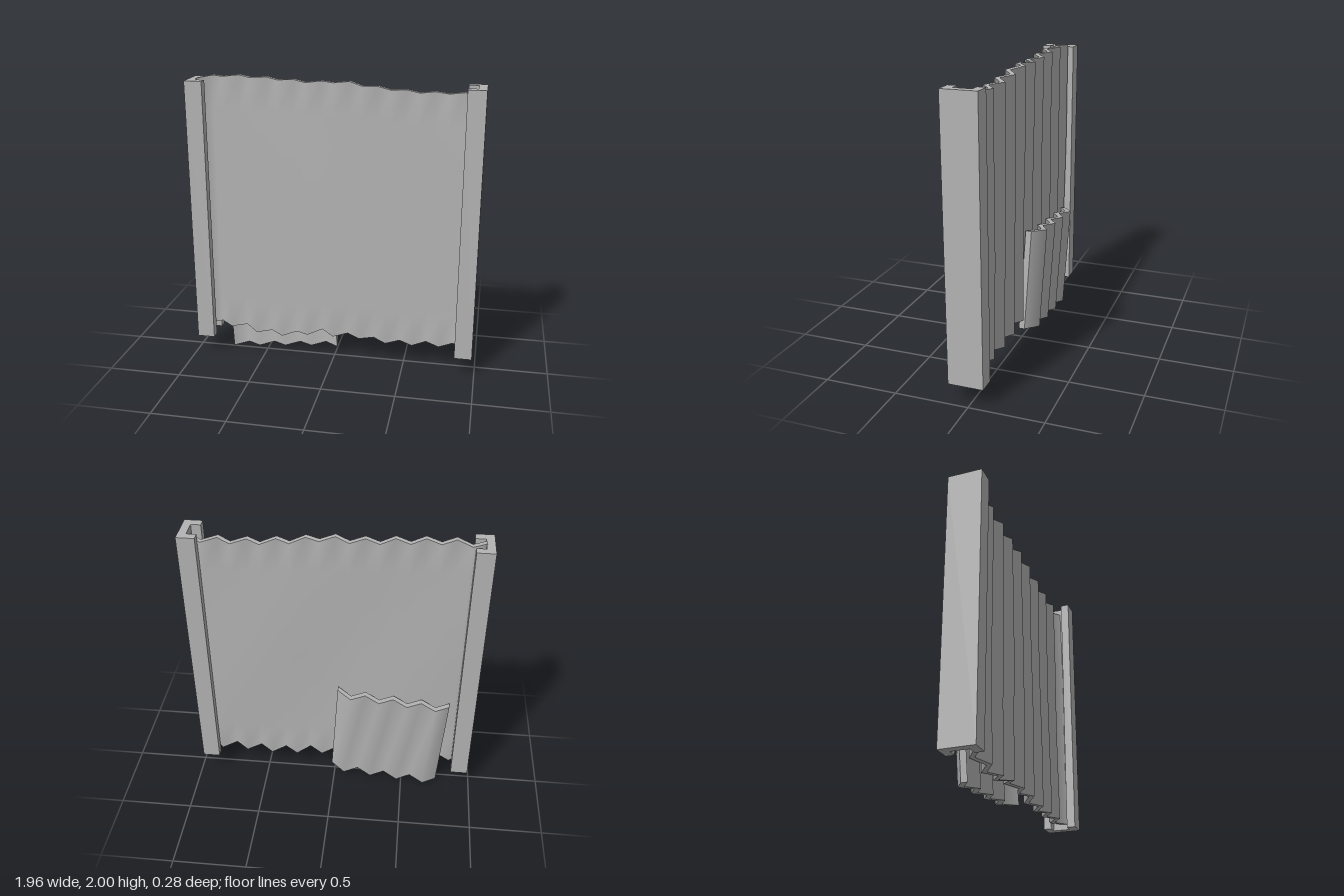
import * as THREE from 'three';

const steel = new THREE.MeshStandardMaterial({ color: 0xb4b4b4 });
steel.name = 'grey steel';

// Piecewise-linear curve through [x, y] points
function curve(points) {
  return (x) => {
    let i = 0;
    while (i < points.length - 2 && x > points[i + 1][0]) i++;
    const [x0, y0] = points[i], [x1, y1] = points[i + 1];
    return y0 + (y1 - y0) * THREE.MathUtils.clamp((x - x0) / (x1 - x0), 0, 1);
  };
}

// Solid folded sheet; at(i, v, front) gives a point at fold i and height v (0..1).
// Faces share normals over the folds, the cut edges stay sharp.
function foldedSheet(count, rows, at) {
  const pos = [], idx = [];
  const grid = (nu, nv, point) => {
    const base = pos.length / 3;
    for (let v = 0; v <= nv; v++)
      for (let u = 0; u <= nu; u++) pos.push(...point(u, v));
    for (let v = 0; v < nv; v++)
      for (let u = 0; u < nu; u++) {
        const a = base + v * (nu + 1) + u, b = a + 1, c = a + nu + 1, d = c + 1;
        idx.push(a, b, d, a, d, c);
      }
  };
  const n = count - 1;
  grid(n, rows, (u, v) => at(u, v / rows, true)); // front
  grid(n, rows, (u, v) => at(n - u, v / rows, false)); // back
  grid(n, 1, (u, v) => at(u, 1, v === 0)); // top edge
  grid(n, 1, (u, v) => at(u, 0, v === 1)); // bottom edge
  grid(1, rows, (u, v) => at(0, v / rows, u === 1)); // left-hand edge
  grid(1, rows, (u, v) => at(n, v / rows, u === 0)); // right-hand edge
  const g = new THREE.BufferGeometry();
  g.setAttribute('position', new THREE.Float32BufferAttribute(pos, 3));
  g.setIndex(idx);
  g.computeVertexNormals();
  return g;
}

function add(parent, geometry, name) {
  const mesh = new THREE.Mesh(geometry, steel);
  mesh.name = name;
  parent.add(mesh);
  return mesh;
}

export function createModel() {
  const group = new THREE.Group();
  group.name = 'corrugatedWall';

  // C-section posts: upright extrusions opening towards the sheet
  for (const side of [-1, 1]) {
    const outline = [[0.98, -0.14], [0.98, 0.095], [0.86, 0.095], [0.86, 0.04],
      [0.925, 0.04], [0.925, -0.08], [0.86, -0.08], [0.86, -0.14]];
    const shape = new THREE.Shape(outline.map(([x, y]) => new THREE.Vector2(side * x, y)));
    const g = new THREE.ExtrudeGeometry(shape, { depth: 1.845, bevelEnabled: false });
    g.rotateX(-Math.PI / 2).translate(0, 0.13, 0);
    add(group, g, side < 0 ? 'rightPost' : 'leftPost');
  }

  // Large corrugated sheet with uneven top and bottom edges
  const topEdge = curve([[-0.93, 1.98], [-0.82, 1.995], [-0.68, 2], [-0.45, 1.99], [-0.18, 1.973],
    [0.08, 1.98], [0.2, 1.96], [0.4, 1.94], [0.56, 1.93], [0.93, 1.93]]);
  const bottomEdge = curve([[-0.93, 0.2], [-0.68, 0.188], [-0.54, 0.155], [-0.4, 0.146], [-0.25, 0.16],
    [-0.1, 0.193], [0.02, 0.174], [0.16, 0.182], [0.28, 0.163], [0.45, 0.156], [0.7, 0.168], [0.93, 0.17]]);
  const folds = [-0.93];
  for (let i = 0; i < 19; i++) folds.push(-0.84 + i * 0.0933);
  folds.push(0.925);
  add(group, foldedSheet(folds.length, 8, (i, v, front) => {
    const x = folds[i];
    const dent = 0.006 * Math.sin(5 * x + 4 * v) * Math.sin(Math.PI * v);
    const z = (i % 2 ? -0.06 : 0.012) + (front ? 0.037 : 0) + 0.016 * (1 - v) + dent;
    return [x, THREE.MathUtils.lerp(bottomEdge(x), topEdge(x), v), z];
  }), 'corrugatedSheet');

  // Small patch sheet leaning on the back, slightly turned
  add(group, foldedSheet(9, 1, (i, v, front) => {
    const u = i / 8;
    const x = -0.757 + 0.778 * u - 0.045 * v;
    const y = 0.002 + 0.073 * u + 0.735 * v;
    const z = (i % 2 ? -0.108 : i === 8 ? -0.025 : -0.045) + (front ? 0.042 : 0) - 0.035 * v;
    return [x, y, z];
  }), 'patchSheet');

  return group;
}
